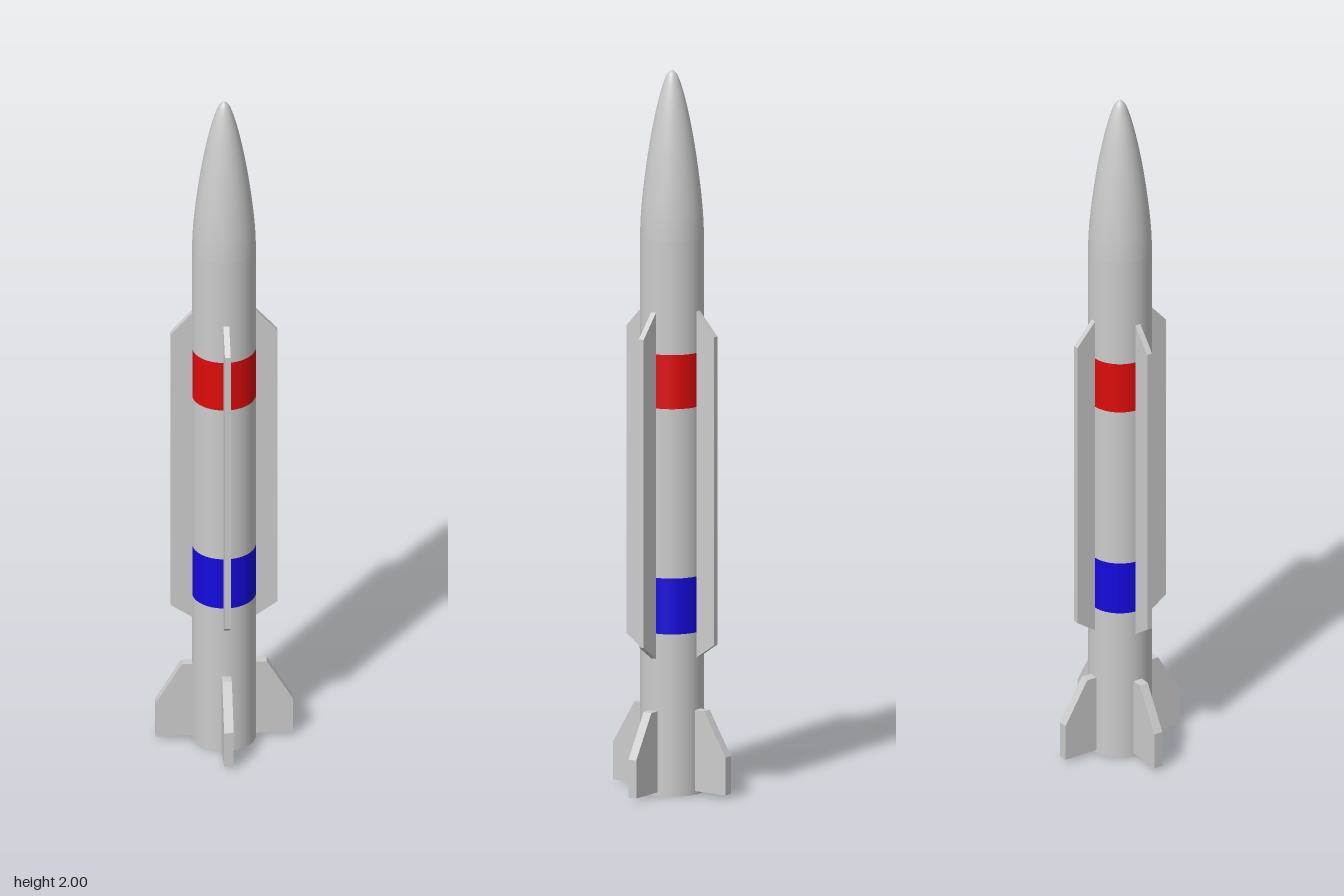
import * as THREE from 'three';

const R = 0.087;
const grey = new THREE.MeshStandardMaterial({ color: 0xcccccc });
const red = new THREE.MeshStandardMaterial({ color: 0xdd0b0b });
const blue = new THREE.MeshStandardMaterial({ color: 0x1408dd });

function addMesh(parent, name, geometry, material) {
  const mesh = new THREE.Mesh(geometry, material);
  mesh.name = name;
  parent.add(mesh);
  return mesh;
}

// Open tube section of the hull between two heights
function addSection(parent, name, y0, y1, material) {
  const geometry = new THREE.CylinderGeometry(R, R, y1 - y0, 64, 1, true);
  geometry.translate(0, (y0 + y1) / 2, 0);
  addMesh(parent, name, geometry, material);
}

// Four flat fins around the hull, extruded from one outline
function addFins(parent, name, outline, thickness) {
  const shape = new THREE.Shape(outline.map(([x, y]) => new THREE.Vector2(x, y)));
  const geometry = new THREE.ExtrudeGeometry(shape, { depth: thickness, bevelEnabled: false });
  geometry.translate(0, 0, -thickness / 2);
  for (let i = 0; i < 4; i++) {
    addMesh(parent, name + (i + 1), geometry, grey).rotation.y = i * Math.PI / 2;
  }
}

export function createModel() {
  const rocket = new THREE.Group();
  rocket.name = 'rocket';

  // Hull with two painted bands
  addSection(rocket, 'lowerHull', 0, 0.45, grey);
  addSection(rocket, 'blueBand', 0.45, 0.605, blue);
  addSection(rocket, 'middleHull', 0.605, 1.075, grey);
  addSection(rocket, 'redBand', 1.075, 1.225, red);
  addSection(rocket, 'upperHull', 1.225, 1.54, grey);

  // Flat base
  const base = new THREE.CircleGeometry(R, 64);
  base.rotateX(Math.PI / 2);
  addMesh(rocket, 'base', base, grey);

  // Ogive nose with a small rounded tip
  const curve = new THREE.SplineCurve([
    [R, 1.54], [0.0845, 1.6], [0.077, 1.68], [0.062, 1.79],
    [0.043, 1.89], [0.026, 1.955], [0.013, 1.988], [0, 2],
  ].map(([x, y]) => new THREE.Vector2(x, y)));
  const profile = curve.getPoints(42);
  profile[profile.length - 1].x = 0;
  addMesh(rocket, 'noseCone', new THREE.LatheGeometry(profile, 64), grey);

  // Long strakes along the hull and clipped tail fins
  addFins(rocket, 'strake',
    [[0.06, 0.365], [R, 0.38], [0.145, 0.42], [0.145, 1.275], [R, 1.34], [0.06, 1.37]], 0.016);
  addFins(rocket, 'tailFin',
    [[0.06, 0.01], [0.187, 0.01], [0.187, 0.115], [0.116, 0.235], [0.06, 0.235]], 0.026);

  return rocket;
}
